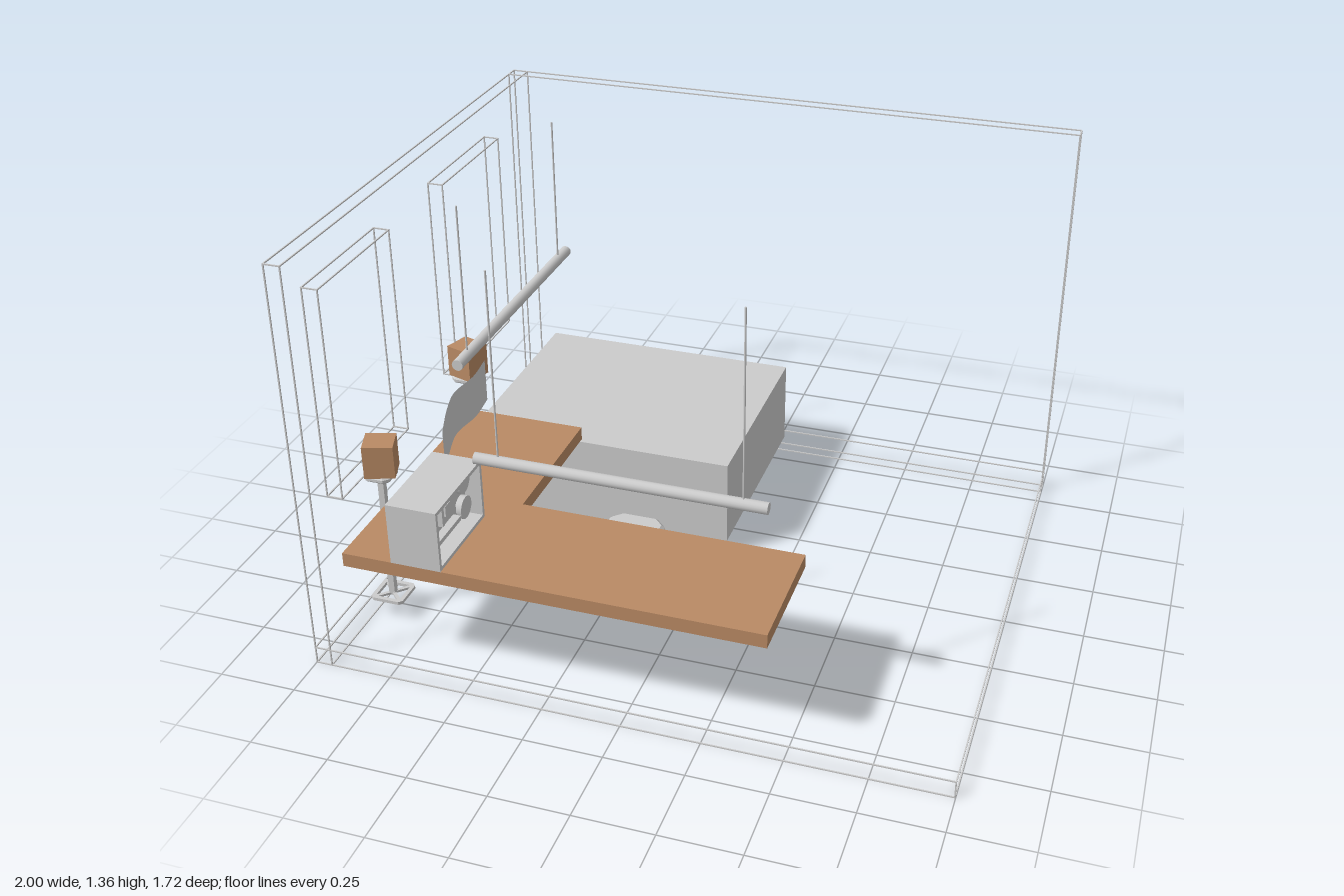
import * as THREE from 'three';

const grey = new THREE.MeshStandardMaterial({ color: 0xcccccc, flatShading: true });
const smooth = new THREE.MeshStandardMaterial({ color: 0xcccccc });
const sheet = new THREE.MeshStandardMaterial({ color: 0xcccccc, side: THREE.DoubleSide });
const wood = new THREE.MeshStandardMaterial({ color: 0xb98a64 });

function add(parent, name, geometry, material = grey) {
  const mesh = new THREE.Mesh(geometry, material);
  mesh.name = name;
  parent.add(mesh);
  return mesh;
}

// Box given by its two extreme corners
function block(parent, name, a, b, material = grey) {
  const mesh = add(parent, name, new THREE.BoxGeometry(b[0] - a[0], b[1] - a[1], b[2] - a[2]), material);
  mesh.position.set((a[0] + b[0]) / 2, (a[1] + b[1]) / 2, (a[2] + b[2]) / 2);
  return mesh;
}

// The twelve thin edges of a box
function edgeFrame(parent, name, a, b) {
  const group = new THREE.Group();
  group.name = name;
  const t = 0.004;
  for (let axis = 0; axis < 3; axis++) {
    const u = (axis + 1) % 3, v = (axis + 2) % 3;
    for (const cu of [a[u], b[u] - t]) for (const cv of [a[v], b[v] - t]) {
      const lo = [], hi = [];
      lo[axis] = a[axis]; hi[axis] = b[axis];
      lo[u] = cu; hi[u] = cu + t;
      lo[v] = cv; hi[v] = cv + t;
      block(group, name + 'Edge', lo, hi);
    }
  }
  parent.add(group);
}

// Square outline with cut corners
function cutSquare(half, cut, Type = THREE.Shape) {
  const c = half - cut;
  return new Type([[c, -half], [half, -c], [half, c], [c, half], [-c, half], [-half, c], [-half, -c], [-c, -half]]
    .map(p => new THREE.Vector2(...p)));
}

function flatExtrude(shape, depth) {
  return new THREE.ExtrudeGeometry(shape, { depth, bevelEnabled: false }).rotateX(-Math.PI / 2);
}

// Pedestal: open base with crossed ribs, square post, bevelled top
function pedestal(name, x, z, { base, baseHeight, post, top, topLow, topHigh }) {
  const group = new THREE.Group();
  group.name = name;
  group.position.set(x, 0.062, z);
  const ring = cutSquare(base, base * 0.2);
  ring.holes.push(cutSquare(base * 0.76, base * 0.15, THREE.Path));
  add(group, 'baseRing', flatExtrude(ring, baseHeight));
  for (const angle of [Math.PI / 4, -Math.PI / 4]) {
    const rib = add(group, 'baseRib', new THREE.BoxGeometry(base * 2.3, baseHeight * 0.7, base * 0.2));
    rib.position.y = baseHeight / 2;
    rib.rotation.y = angle;
  }
  const low = topLow - 0.062, h = topHigh - topLow;
  const column = add(group, 'post', new THREE.BoxGeometry(post, low, post));
  column.position.y = low / 2;
  const bevel = h * 0.28;
  const topGeometry = new THREE.ExtrudeGeometry(cutSquare(top - bevel, top * 0.3), {
    depth: h - 2 * bevel, bevelThickness: bevel, bevelSize: bevel, bevelSegments: 1,
  }).rotateX(-Math.PI / 2);
  add(group, 'top', topGeometry).position.y = low + bevel;
  return group;
}

function rod(parent, name, radius, length, x, y, z, axis = 'y') {
  const mesh = add(parent, name, new THREE.CylinderGeometry(radius, radius, length, 16), smooth);
  mesh.position.set(x, y, z);
  if (axis === 'x') mesh.rotation.z = Math.PI / 2;
  if (axis === 'z') mesh.rotation.x = Math.PI / 2;
}

// Tube lamp hung on two wires
function hangingLamp(name, x, y, z, axis) {
  const group = new THREE.Group();
  group.name = name;
  rod(group, 'lampTube', 0.018, 0.88, x, y, z, axis);
  for (const d of [-0.367, 0.367]) {
    rod(group, 'lampWire', 0.003, 1.36 - y, x + (axis === 'x' ? d : 0), (1.36 + y) / 2, z + (axis === 'z' ? d : 0));
  }
  return group;
}

// Computer case, open toward +x
function computer() {
  const group = new THREE.Group();
  group.name = 'computer';
  const x0 = -0.705, x1 = -0.545, y0 = 0.434, y1 = 0.635, z0 = 0.542, z1 = 0.855, t = 0.012, inner = -0.6;
  block(group, 'caseBody', [x0, y0, z0], [inner, y1, z1]);
  block(group, 'caseFloor', [inner, y0, z0], [x1, y0 + t, z1]);
  block(group, 'caseRoof', [inner, y1 - t, z0], [x1, y1, z1]);
  block(group, 'caseBack', [inner, y0 + t, z0], [x1, y1 - t, z0 + t]);
  block(group, 'caseFront', [inner, y0 + t, z1 - t], [x1, y1 - t, z1]);
  for (const y of [0.49, 0.58]) rod(group, 'fan', 0.037, 0.02, -0.59, y, 0.592, 'x');
  block(group, 'mainboard', [inner, 0.47, 0.64], [-0.59, 0.615, 0.83]);
  block(group, 'processor', [-0.59, 0.545, 0.7], [-0.575, 0.58, 0.735]);
  block(group, 'memory', [-0.59, 0.53, 0.755], [-0.57, 0.595, 0.768]);
  block(group, 'graphicsCard', [-0.59, 0.49, 0.66], [-0.565, 0.505, 0.83]);
  return group;
}

// Thin bent screen
function screen() {
  const curve = new THREE.CatmullRomCurve3([[-0.797, -0.047], [-0.786, 0.07], [-0.799, 0.185], [-0.775, 0.29], [-0.727, 0.425]]
    .map(([x, z]) => new THREE.Vector3(x, 0, z)));
  const geometry = new THREE.PlaneGeometry(1, 0.15, 16, 1);
  const pos = geometry.attributes.position;
  for (let i = 0; i < pos.count; i++) {
    const p = curve.getPoint(THREE.MathUtils.clamp(0.5 - pos.getX(i), 0, 1));
    pos.setXYZ(i, p.x, 0.56 + pos.getY(i), p.z);
  }
  geometry.computeVertexNormals();
  return geometry;
}

export function createModel() {
  const model = new THREE.Group();
  model.name = 'room';

  // Outlined floor, walls and windows
  edgeFrame(model, 'floor', [-1, 0, -0.86], [1, 0.06, 0.86]);
  edgeFrame(model, 'backWall', [-1, 0, -0.86], [1, 1.36, -0.81]);
  edgeFrame(model, 'sideWall', [-1, 0, -0.86], [-0.945, 1.36, 0.86]);
  for (const z of [0.24, -0.58]) edgeFrame(model, 'window', [-1, 0.503, z], [-0.945, 1.21, z + 0.447]);

  block(model, 'bed', [-0.865, 0.06, -0.81], [0.04, 0.355, -0.085]);

  // L-shaped desk top
  const desk = new THREE.Shape([[-0.865, 0.05], [-0.865, -0.855], [0.445, -0.855], [0.445, -0.445], [-0.46, -0.445], [-0.46, 0.05]]
    .map(p => new THREE.Vector2(...p)));
  add(model, 'deskTop', flatExtrude(desk, 0.045), wood).position.y = 0.389;
  model.add(computer());
  add(model, 'screen', screen(), sheet);

  model.add(pedestal('stool', -0.18, 0.247,
    { base: 0.117, baseHeight: 0.022, post: 0.045, top: 0.095, topLow: 0.23, topHigh: 0.27 }));

  // Speakers on stands
  for (const [x, z, turn] of [[-0.89, 0.532, 0.33], [-0.9, -0.13, -0.32]]) {
    model.add(pedestal('speakerStand', x - 0.005, z,
      { base: 0.055, baseHeight: 0.011, post: 0.02, top: 0.045, topLow: 0.505, topHigh: 0.525 }));
    const speaker = add(model, 'speaker', new THREE.BoxGeometry(0.096, 0.11, 0.09), wood);
    speaker.position.set(x, 0.58, z);
    speaker.rotation.y = turn;
  }

  model.add(hangingLamp('frontLamp', -0.036, 0.756, 0.716, 'x'));
  model.add(hangingLamp('sideLamp', -0.667, 0.868, -0.033, 'z'));
  return model;
}
